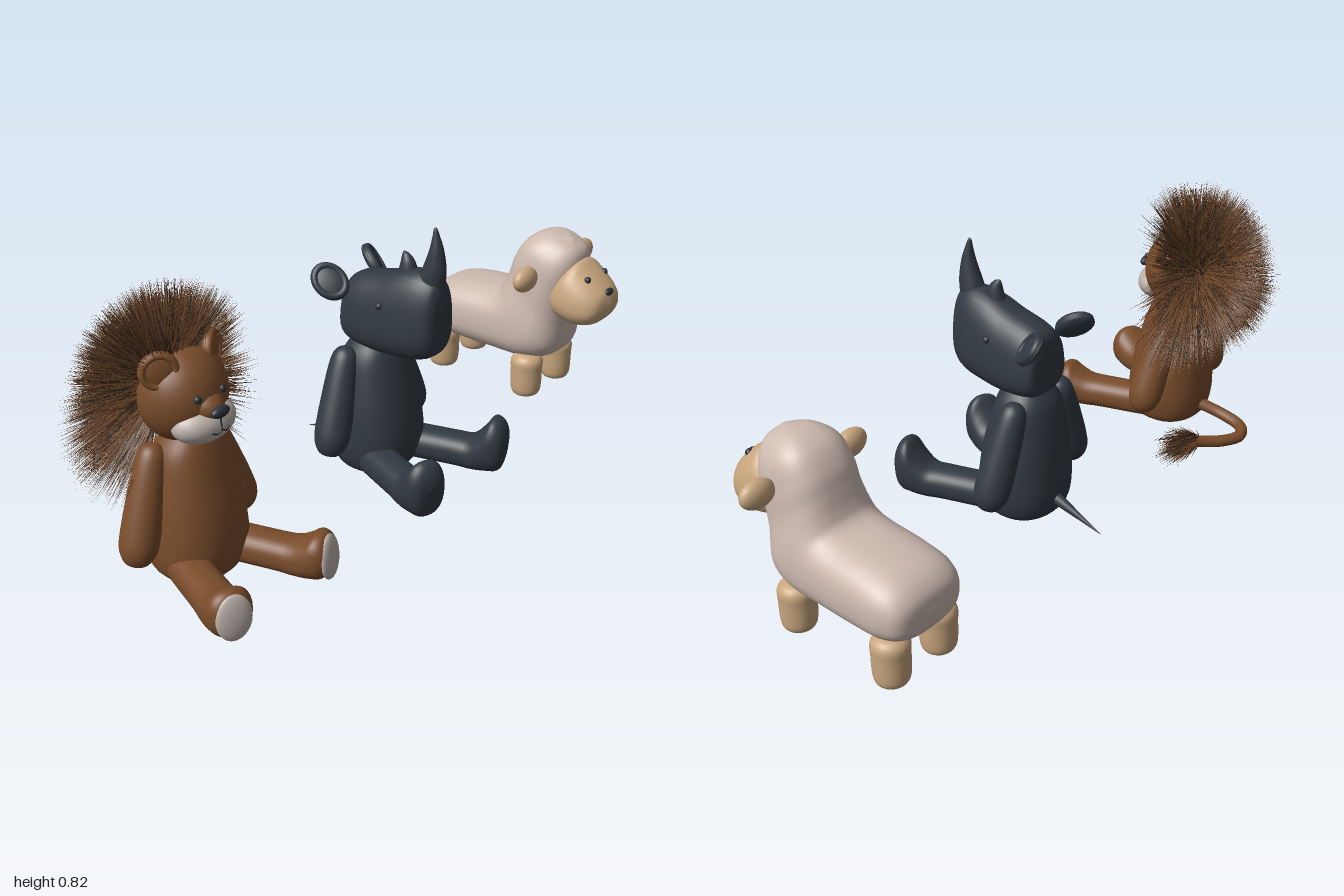
import * as THREE from 'three';

const mat = (name, color, side = THREE.FrontSide) => {
  const m = new THREE.MeshStandardMaterial({ color, side });
  m.name = name;
  return m;
};

export function createModel() {
  const brown = mat('brown plush', 0x794c2b);
  const slate = mat('slate plush', 0x313941);
  const wool = mat('pale wool', 0xcdbab0);
  const tan = mat('tan felt', 0xc8a67e);
  const pale = mat('pale felt', 0xbdb2ab);
  const ink = mat('dark stitching', 0x2a3037);
  const darkHair = mat('dark hair', 0x35251a, THREE.DoubleSide);
  const brownHair = mat('brown hair', 0x744a2b, THREE.DoubleSide);

  let seed = 7;
  const rnd = () => (seed = (seed * 16807) % 2147483647) / 2147483647;
  const jitter = () => new THREE.Vector3(rnd() - 0.5, rnd() - 0.5, rnd() - 0.5);

  const model = new THREE.Group();
  model.name = 'plushAnimals';

  const add = (parent, name, geo, material, p = [0, 0, 0], r = [0, 0, 0]) => {
    const m = new THREE.Mesh(geo, material);
    m.name = name;
    m.position.set(...p);
    m.rotation.set(...r);
    parent.add(m);
    return m;
  };
  const ball = (parent, name, material, p, s, r) => {
    const m = add(parent, name, new THREE.SphereGeometry(1, 28, 20), material, p, r);
    m.scale.set(...s);
    return m;
  };
  const group = (name, parent, p = [0, 0, 0]) => {
    const g = new THREE.Group();
    g.name = name;
    g.position.set(...p);
    parent.add(g);
    return g;
  };
  const tube = (pts, radius, sides) => new THREE.TubeGeometry(
    new THREE.CatmullRomCurve3(pts.map(p => new THREE.Vector3(...p))), 40, radius, sides);

  // Skin over rounded sections [zA, yA, zB, yB, halfWidth]; taper narrows the A side
  function loft(secs, taper = 0, power = 2.3, rings = 44, n = 32) {
    const a = new THREE.CatmullRomCurve3(secs.map(s => new THREE.Vector3(s[4], s[1], s[0])), false, 'catmullrom');
    const b = new THREE.CatmullRomCurve3(secs.map(s => new THREE.Vector3(s[4], s[3], s[2])), false, 'catmullrom');
    const pos = [], idx = [];
    const soft = v => Math.sign(v) * Math.abs(v) ** (2 / power);
    for (let i = 0; i <= rings; i++) {
      const A = a.getPoint(i / rings), B = b.getPoint(i / rings), w = Math.max(A.x, 0.001);
      for (let j = 0; j < n; j++) {
        const t = j / n * Math.PI * 2, c = soft(Math.cos(t)), k = (1 + c) / 2;
        pos.push(w * soft(Math.sin(t)) * (1 - taper * c), B.y + (A.y - B.y) * k, B.z + (A.z - B.z) * k);
        if (i < rings) {
          const p = i * n + j, q = i * n + (j + 1) % n;
          idx.push(p, p + n, q, q, p + n, q + n);
        }
      }
    }
    // close both ends
    const last = rings * n;
    for (let j = 1; j < n - 1; j++) idx.push(0, j, j + 1, last, last + j + 1, last + j);
    const g = new THREE.BufferGeometry();
    g.setAttribute('position', new THREE.Float32BufferAttribute(pos, 3));
    g.setIndex(idx);
    g.computeVertexNormals();
    return g;
  }
  const lathe = pts => new THREE.LatheGeometry(
    new THREE.SplineCurve(pts.map(p => new THREE.Vector2(...p))).getPoints(30).map(v => v.setX(Math.max(v.x, 0))), 28);

  // Cupped ear: thin disc with a rolled rim
  function ear(parent, name, material, p, rx, ry, rot) {
    const e = group(name, parent, p);
    e.rotation.set(...rot);
    ball(e, 'earCup', material, [0, 0, -0.006], [rx, ry, 0.018]);
    const rim = add(e, 'earRim', new THREE.TorusGeometry(1, 0.24, 10, 32), material);
    rim.scale.set(rx * 0.8, ry * 0.8, 0.055);
  }

  // Hair: each strand is two crossed slivers from root to tip
  function hair(parent, name, count, width, darkShare, strand) {
    const sets = [[], []];
    for (let i = 0; i < count; i++) {
      const [r, t] = strand();
      const d = t.clone().sub(r).normalize();
      const u = jitter().cross(d).setLength(width / 2);
      const v = u.clone().cross(d).setLength(width / 2);
      const out = sets[rnd() < darkShare ? 0 : 1];
      for (const s of [u, v])
        out.push(...r.clone().add(s).toArray(), ...r.clone().sub(s).toArray(), ...t.toArray());
    }
    sets.forEach((list, i) => {
      const g = new THREE.BufferGeometry();
      g.setAttribute('position', new THREE.Float32BufferAttribute(list, 3));
      g.computeVertexNormals();
      add(parent, name + (i ? 'Brown' : 'Dark'), g, i ? brownHair : darkHair);
    });
  }

  // Seated body with arms and legs, shared by the lion and the rhinoceros
  function sitter(name, x, material, f, legZ) {
    const g = group(name, model, [x, 0, 0]);
    add(g, 'body', loft([
      [-0.06, 0.005, 0.06, 0.005, 0.06], [-0.12, 0.02, 0.09, 0.02, 0.115], [-0.14, 0.09, 0.115, 0.09, 0.138],
      [-0.137, 0.2, 0.105, 0.2, 0.134], [-0.125, 0.31, 0.08, 0.31, 0.115], [-0.11, 0.38, 0.06, 0.38, 0.095],
      [-0.08, 0.43, 0.04, 0.43, 0.06]]), material);
    const armGeo = lathe([[0, -0.312], [0.03, -0.304], [0.05, -0.27], [0.054, -0.22], [0.05, -0.12],
      [0.044, -0.04], [0.036, 0], [0.02, 0.02], [0, 0.026]]);
    const legGeo = loft([
      [-0.05, 0.085, -0.05, 0.03, 0.02], [-0.03, 0.11, -0.03, 0.015, 0.05], [0.06, 0.112, 0.06, 0.012, 0.055],
      [0.2, 0.112, 0.2, 0.012, 0.056], [0.25, 0.115, 0.25, 0.01, 0.059], [0.288, (f + 0.115) / 2, 0.285, 0.01, 0.063],
      [0.315, f, 0.308, 0.012, 0.064], [0.34, f - 0.006, 0.333, 0.016, 0.058],
      [0.357, f - 0.035, 0.349, 0.035, 0.042], [0.362, f * 0.6, 0.358, f * 0.5, 0.008]]);
    for (const s of [1, -1]) {
      const side = s > 0 ? 'left' : 'right';
      add(g, side + 'Arm', armGeo, material, [s * 0.1, 0.385, -0.055], [-0.07, 0, s * 0.325]);
      const leg = group(side + 'Leg', g, [s * 0.064, 0, legZ]);
      leg.rotation.y = s * 0.33;
      add(leg, 'leg', legGeo, material);
      if (material === brown) ball(leg, 'footPad', pale, [0, 0.08, 0.348], [0.051, 0.065, 0.017], [-0.1, 0, 0]);
    }
    return g;
  }

  // ---- Lion ----
  const lion = sitter('lion', -0.707, brown, 0.15, -0.022);
  const face = group('lionHead', lion, [0, 0, -0.04]);
  ball(face, 'head', brown, [0, 0.53, 0], [0.125, 0.133, 0.12]);
  ball(face, 'snoutBridge', brown, [0, 0.525, 0.076], [0.05, 0.045, 0.068], [0.2, 0, 0]);
  ball(face, 'muzzle', pale, [0, 0.473, 0.076], [0.097, 0.057, 0.07]);
  ball(face, 'nose', ink, [0, 0.518, 0.143], [0.03, 0.016, 0.015]);
  add(face, 'mouth', tube([[-0.03, 0.466, 0.141], [-0.016, 0.46, 0.145], [0, 0.467, 0.147],
    [0.016, 0.46, 0.145], [0.03, 0.466, 0.141]], 0.0025, 6), ink);
  add(face, 'mouthSeam', new THREE.CylinderGeometry(0.0025, 0.0025, 0.05, 6), ink, [0, 0.49, 0.144]);
  for (const s of [1, -1]) {
    ball(face, 'eye', ink, [s * 0.043, 0.556, 0.109], [0.011, 0.011, 0.01]);
    ear(face, s > 0 ? 'leftEar' : 'rightEar', brown, [s * 0.092, 0.628, 0.025], 0.054, 0.052, [-0.1, s * 0.55, -s * 0.3]);
  }
  // mane fans out from the back of the head, longer at the lower sides
  hair(face, 'mane', 9000, 0.005, 0.35, () => {
    const d = new THREE.Vector3();
    do d.set(rnd() * 2 - 1, rnd() * 2 - 1, rnd() * 2 - 1);
    while (d.length() > 1 || d.length() < 0.1 || d.normalize().z > 0.72 * Math.max(0, d.y) ** 3 || d.y < -0.88);
    const c = new THREE.Vector3(0, 0.535, -0.04);
    const len = (0.15 + 0.14 * Math.sqrt(rnd())) * (1 + 0.6 * Math.max(0, -d.y) * Math.abs(d.x));
    const root = d.clone().multiplyScalar(0.1).add(c);
    const tip = d.clone().add(jitter().multiplyScalar(0.28)).normalize().multiplyScalar(len);
    if (tip.z < 0) tip.z *= 0.86;
    return [root, tip.add(c)];
  });
  // curled tail with a tuft
  add(lion, 'tail', tube([[0, 0.07, -0.11], [-0.03, 0.04, -0.2], [-0.02, 0.026, -0.28], [0.03, 0.024, -0.31],
    [0.09, 0.026, -0.29], [0.15, 0.035, -0.25], [0.2, 0.05, -0.225]], 0.019, 12), brown);
  hair(lion, 'tailTuft', 600, 0.004, 0.55, () => {
    const off = jitter();
    const root = off.clone().multiplyScalar(0.03).add(new THREE.Vector3(0.18, 0.048, -0.232));
    const tip = off.multiplyScalar(0.09).add(new THREE.Vector3(0.22 + 0.08 * rnd(), 0.053, -0.21));
    return [root, tip];
  });

  // ---- Rhinoceros ----
  const rhino = sitter('rhinoceros', 0.042, slate, 0.19, 0);
  add(rhino, 'head', loft([
    [-0.105, 0.55, -0.105, 0.47, 0.03], [-0.095, 0.6, -0.095, 0.42, 0.075], [-0.05, 0.625, -0.05, 0.4, 0.09],
    [0.03, 0.645, 0.03, 0.395, 0.093], [0.1, 0.67, 0.1, 0.4, 0.089], [0.16, 0.678, 0.16, 0.408, 0.081],
    [0.205, 0.665, 0.2, 0.425, 0.066], [0.222, 0.64, 0.22, 0.455, 0.046], [0.228, 0.58, 0.226, 0.51, 0.012]], 0.17, 2.5), slate);
  add(rhino, 'frontHorn', loft([
    [0.13, 0.63, 0.222, 0.63, 0.038], [0.155, 0.69, 0.227, 0.69, 0.032], [0.177, 0.75, 0.219, 0.75, 0.021],
    [0.185, 0.79, 0.206, 0.79, 0.011], [0.187, 0.809, 0.199, 0.809, 0.006], [0.19, 0.816, 0.194, 0.816, 0.001]], 0, 2, 30, 20), slate);
  add(rhino, 'rearHorn', loft([
    [0.062, 0.64, 0.132, 0.645, 0.03], [0.074, 0.685, 0.118, 0.69, 0.02], [0.077, 0.708, 0.101, 0.711, 0.01],
    [0.08, 0.718, 0.086, 0.718, 0.002]], 0, 2, 20, 18), slate);
  add(rhino, 'tail', new THREE.ConeGeometry(0.02, 0.2, 16), slate, [0, 0.046, -0.21], [-Math.PI / 2 - 0.32, 0, 0]);
  for (const s of [1, -1]) {
    ball(rhino, 'eye', ink, [s * 0.083, 0.567, 0.06], [0.011, 0.011, 0.011]);
    ear(rhino, s > 0 ? 'leftEar' : 'rightEar', slate, [s * 0.1, 0.602, -0.112], 0.05, 0.062, [-0.75, s * 0.6, -s * 0.25]);
  }

  // ---- Sheep ----
  const sheep = group('sheep', model, [0.785, 0, 0]);
  add(sheep, 'woolBody', loft([
    [-0.347, 0.215, -0.347, 0.195, 0.02], [-0.335, 0.265, -0.33, 0.145, 0.105], [-0.29, 0.304, -0.27, 0.12, 0.136],
    [-0.2, 0.325, -0.19, 0.113, 0.141], [-0.1, 0.335, -0.06, 0.114, 0.141], [-0.06, 0.35, 0.08, 0.12, 0.141],
    [-0.043, 0.38, 0.158, 0.165, 0.136], [-0.028, 0.43, 0.176, 0.27, 0.121], [-0.01, 0.485, 0.19, 0.35, 0.117],
    [0.03, 0.538, 0.21, 0.45, 0.104], [0.09, 0.564, 0.208, 0.515, 0.062], [0.15, 0.56, 0.17, 0.554, 0.008]], 0, 2.6, 66, 36), wool);
  add(sheep, 'face', loft([
    [0.17, 0.475, 0.145, 0.315, 0.095], [0.214, 0.495, 0.172, 0.293, 0.107], [0.25, 0.472, 0.235, 0.284, 0.106],
    [0.29, 0.438, 0.285, 0.296, 0.09], [0.315, 0.41, 0.312, 0.325, 0.062], [0.326, 0.375, 0.326, 0.36, 0.01]], 0.15), tan);
  ball(sheep, 'nose', ink, [0, 0.409, 0.315], [0.02, 0.012, 0.01]);
  const leg = lathe([[0, 0], [0.035, 0.002], [0.047, 0.014], [0.051, 0.04], [0.052, 0.09], [0.052, 0.125], [0.035, 0.145], [0, 0.15]]);
  for (const s of [1, -1]) {
    ball(sheep, 'eye', ink, [s * 0.048, 0.449, 0.263], [0.011, 0.011, 0.011]);
    ball(sheep, s > 0 ? 'leftEar' : 'rightEar', tan, [s * 0.16, 0.443, 0.102], [0.055, 0.041, 0.029], [0, 0, s * 0.1]);
    for (const z of [0.075, -0.272]) add(sheep, z > 0 ? 'frontLeg' : 'backLeg', leg, tan, [s * 0.086, 0, z]);
  }
  return model;
}
